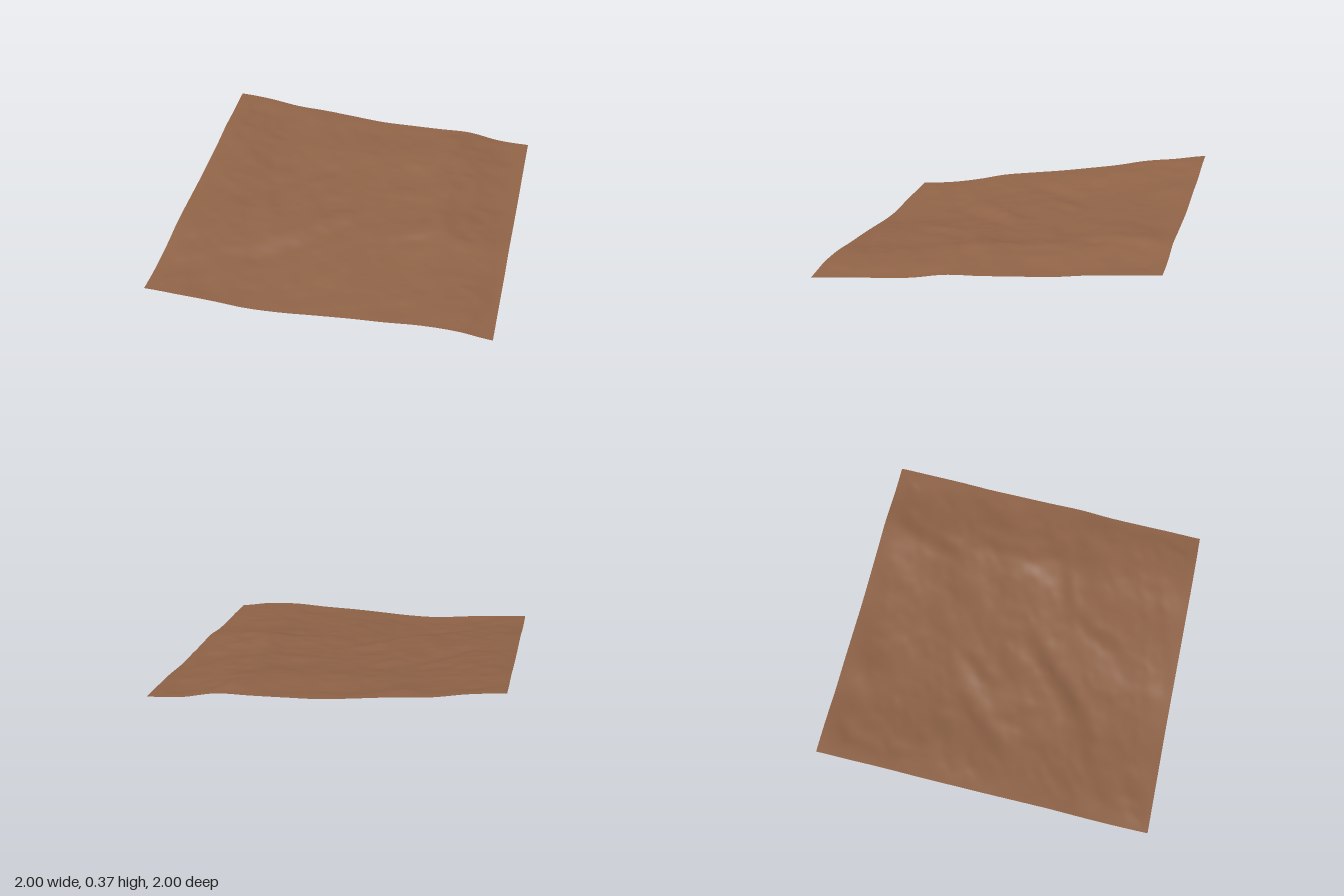
import * as THREE from 'three';

// Edge heights at eleven even steps from -1 to 1
const edge = (heights) => {
  const curve = new THREE.SplineCurve(heights.map((h, i) => new THREE.Vector2(i, h)));
  return (t) => curve.getPoint(t).y;
};
const back = edge([0.367, 0.347, 0.312, 0.295, 0.272, 0.25, 0.243, 0.238, 0.234, 0.195, 0.182]);
const front = edge([0.055, 0.041, 0.026, 0.006, 0.005, 0.015, 0.024, 0.029, 0.038, 0.03, 0]);
const left = edge([0.182, 0.166, 0.148, 0.122, 0.108, 0.094, 0.084, 0.05, 0.032, 0.018, 0]);
const right = edge([0.367, 0.336, 0.31, 0.268, 0.235, 0.204, 0.178, 0.15, 0.105, 0.071, 0.055]);

// Sloping steps: start x, z, end x, z, height, width
const steps = [
  [-0.36, 0.45, 0.0, 0.1, 0.022, 0.08],
  [-0.72, 0.02, -0.45, -0.25, 0.018, 0.08],
  [-0.9, 0.7, -0.4, 0.47, 0.012, 0.09],
  [-0.3, -0.12, -0.15, -0.3, 0.012, 0.06],
  [0.48, -0.5, 0.62, -0.95, 0.016, 0.08],
  [0.58, 0.0, 0.6, -0.35, 0.014, 0.07],
  [0.28, 0.27, 0.52, 0.2, 0.012, 0.06],
  [0.1, 0.62, 0.25, 0.35, 0.012, 0.07],
  [0.85, 0.95, 1.0, 0.65, 0.008, 0.06],
  [-0.95, -0.7, -0.8, -0.95, 0.008, 0.07],
];

function stepHeight(x, z, [x0, z0, x1, z1, height, width]) {
  const length = Math.hypot(x1 - x0, z1 - z0);
  const ux = (x1 - x0) / length, uz = (z1 - z0) / length;
  const dx = x - (x0 + x1) / 2, dz = z - (z0 + z1) / 2;
  const along = (dx * ux + dz * uz) / (length * 0.6);
  const across = (dx * -uz + dz * ux) / width;
  return -height * across * Math.exp(-across * across - along ** 4);
}

// Smooth seeded noise
function hash(i, j) {
  const s = Math.sin(i * 127.1 + j * 311.7) * 43758.5453;
  return s - Math.floor(s);
}
function noise(x, z) {
  const i = Math.floor(x), j = Math.floor(z);
  const u = THREE.MathUtils.smootherstep(x - i, 0, 1);
  const v = THREE.MathUtils.smootherstep(z - j, 0, 1);
  const mix = THREE.MathUtils.lerp;
  return mix(mix(hash(i, j), hash(i + 1, j), u), mix(hash(i, j + 1), hash(i + 1, j + 1), u), v) - 0.5;
}

// Blend the four edges, then add steps and ripples inside
function groundHeight(x, z) {
  const u = (x + 1) / 2, v = (z + 1) / 2;
  const base = (1 - v) * back(u) + v * front(u) + (1 - u) * right(v) + u * left(v)
    - (1 - u) * (1 - v) * 0.367 - u * (1 - v) * 0.182 - (1 - u) * v * 0.055;
  const fade = THREE.MathUtils.smoothstep(1 - Math.max(Math.abs(x), Math.abs(z)), 0, 0.15);
  let relief = 0;
  for (const step of steps) relief += stepHeight(x, z, step);
  // Ripples stretched along the diagonal
  const a = x + z, b = x - z;
  relief += 0.018 * noise(a * 3 + 9, b * 1.8 + 5) + 0.009 * noise(x * 7 + 20, z * 9 + 31)
    + 0.004 * noise(x * 15 + 3, z * 19 + 40);
  return Math.max(0, base + relief * fade);
}

export function createModel() {
  const soil = new THREE.MeshStandardMaterial({ color: 0x8f6347, side: THREE.DoubleSide });
  soil.name = 'brown soil';

  const geometry = new THREE.PlaneGeometry(2, 2, 120, 120).rotateX(-Math.PI / 2);
  const position = geometry.attributes.position;
  for (let i = 0; i < position.count; i++) {
    position.setY(i, groundHeight(position.getX(i), position.getZ(i)));
  }
  geometry.computeVertexNormals();

  const ground = new THREE.Mesh(geometry, soil);
  ground.name = 'ground';
  const model = new THREE.Group();
  model.name = 'hillside';
  model.add(ground);
  return model;
}
